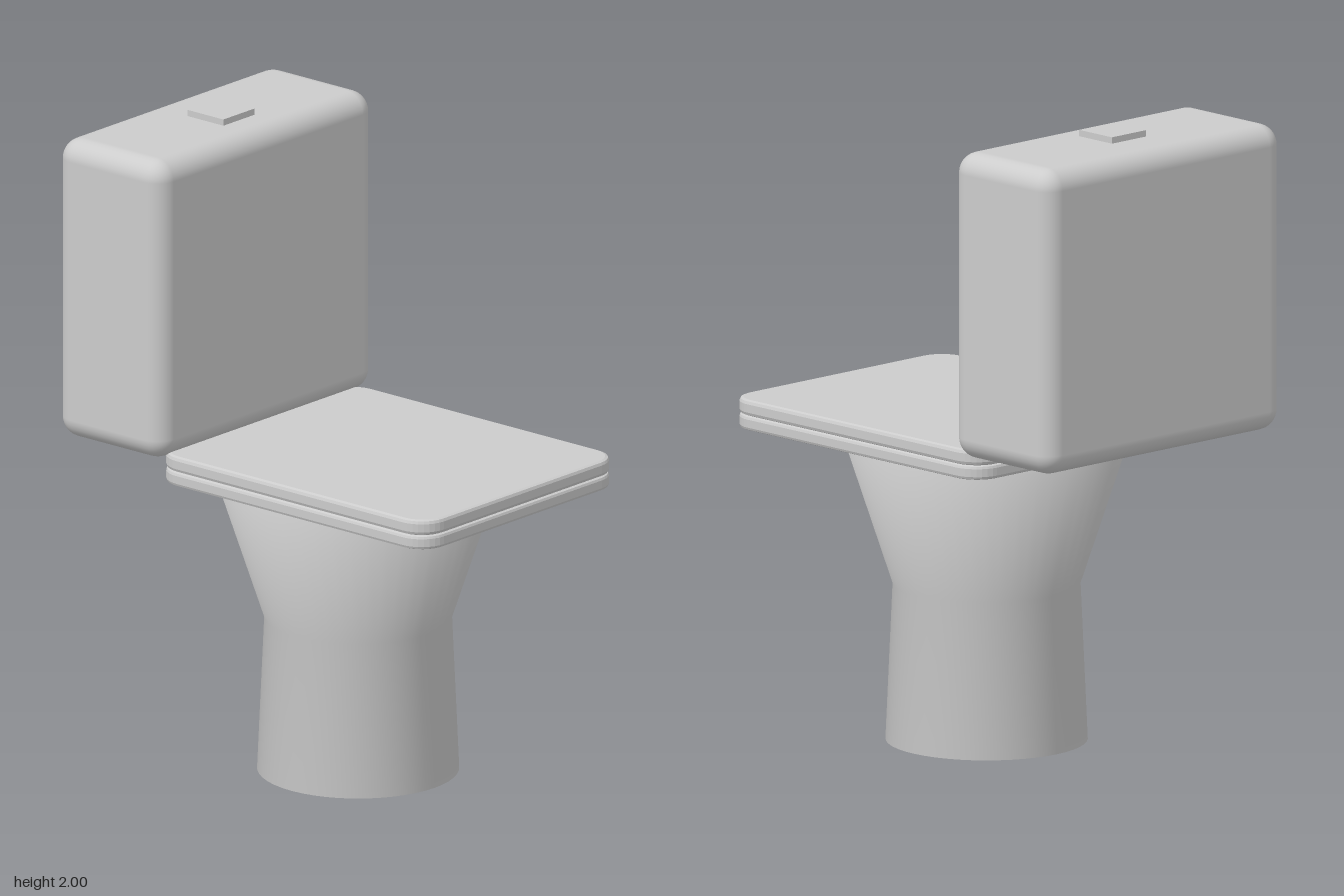
import * as THREE from 'three';
import { RoundedBoxGeometry } from 'three/addons/geometries/RoundedBoxGeometry.js';

const ceramic = new THREE.MeshStandardMaterial({ color: 0xcccccc });
ceramic.name = 'ceramic';

function add(group, name, geometry, x, y, z) {
  const mesh = new THREE.Mesh(geometry, ceramic);
  mesh.name = name;
  mesh.position.set(x, y, z);
  group.add(mesh);
}

// Flat slab with rounded plan corners and a small bevel, its base on y = 0
function slab(width, depth, height, radius, bevel) {
  const w = width / 2 - bevel, d = depth / 2 - bevel, r = radius - bevel;
  const s = new THREE.Shape();
  s.absarc(w - r, d - r, r, 0, Math.PI / 2);
  s.absarc(-w + r, d - r, r, Math.PI / 2, Math.PI);
  s.absarc(-w + r, -d + r, r, Math.PI, Math.PI * 1.5);
  s.absarc(w - r, -d + r, r, Math.PI * 1.5, Math.PI * 2);
  const g = new THREE.ExtrudeGeometry(s, {
    depth: height - 2 * bevel, bevelEnabled: true, bevelSize: bevel,
    bevelThickness: bevel, bevelSegments: 2, curveSegments: 4,
  });
  g.rotateX(-Math.PI / 2);
  g.translate(0, bevel, 0);
  return g;
}

export function createModel() {
  const group = new THREE.Group();
  group.name = 'toilet';

  // Pedestal and bowl, with a hollow under the foot and a shallow domed top
  const profile = [
    [0, 0.14], [0.17, 0.1], [0.24, 0.01], [0.31, 0], [0.288, 0.49],
    [0.43, 0.92], [0.2, 0.945], [0, 0.946],
  ].map(([x, y]) => new THREE.Vector2(x, y));
  add(group, 'bowl', new THREE.LatheGeometry(profile, 48), 0, 0, 0.06);

  // Seat and closed lid
  add(group, 'seat', slab(0.915, 1.1, 0.045, 0.09, 0.01), 0, 0.942, 0.18);
  add(group, 'lid', slab(0.915, 1.1, 0.05, 0.09, 0.012), 0, 0.987, 0.18);

  // Water tank and flush button
  add(group, 'tank', new RoundedBoxGeometry(1.01, 0.96, 0.43, 4, 0.065), 0, 1.5, -0.52);
  add(group, 'flushButton', new THREE.BoxGeometry(0.145, 0.03, 0.145), 0, 1.985, -0.497);

  return group;
}
